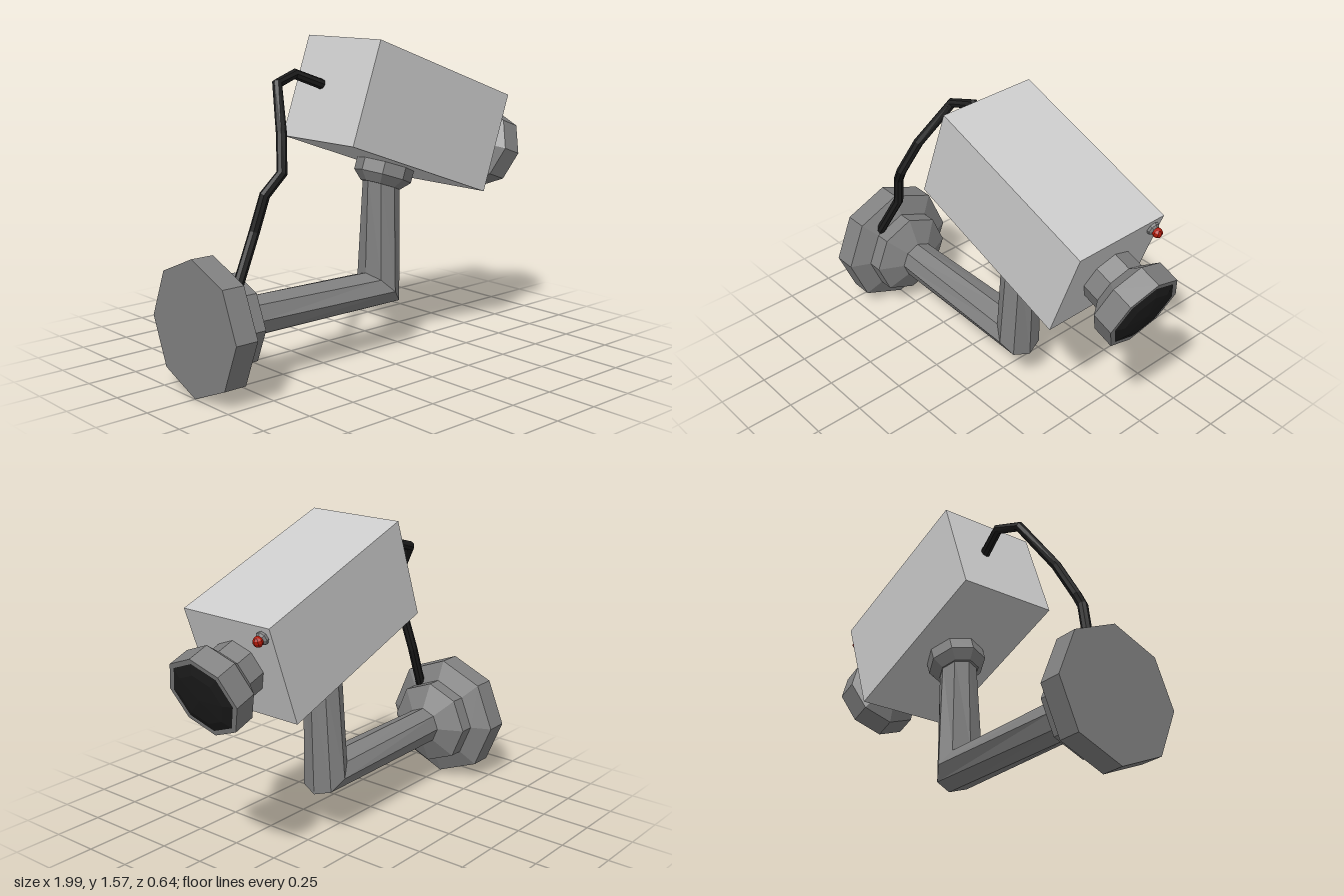
import * as THREE from 'three';

const SIDES = 8;
const paint = (color) => new THREE.MeshStandardMaterial({ color, flatShading: true });
const shell = paint(0xcccccc), metal = paint(0x808080), black = paint(0x1c1c1c), red = paint(0xb01808);

function add(parent, name, geometry, material) {
  const mesh = new THREE.Mesh(geometry, material);
  mesh.name = name;
  parent.add(mesh);
  return mesh;
}

// Octagonal turned part; profile is [radius, height] from bottom to top
function turned(profile) {
  return new THREE.LatheGeometry(profile.map(([r, h]) => new THREE.Vector2(r, h)), SIDES);
}

// Same, with the height running along +x
const turnedX = (profile) => turned(profile).rotateZ(-Math.PI / 2);

// Tube through rings { c: centre, axis, r }, closed at both ends
function loft(rings) {
  const pos = [], index = [];
  const z = new THREE.Vector3(0, 0, 1);
  for (const { c, axis, r } of rings) {
    const w = axis.clone().normalize();
    const u = z.clone().addScaledVector(w, -z.dot(w)).normalize();
    const v = new THREE.Vector3().crossVectors(w, u);
    for (let j = 0; j < SIDES; j++) {
      const a = (j / SIDES) * Math.PI * 2;
      const p = c.clone().addScaledVector(u, r * Math.cos(a)).addScaledVector(v, r * Math.sin(a));
      pos.push(p.x, p.y, p.z);
    }
  }
  const last = (rings.length - 1) * SIDES;
  for (let i = 0; i < last; i += SIDES) {
    for (let j = 0; j < SIDES; j++) {
      const k = (j + 1) % SIDES;
      index.push(i + j, i + k, i + SIDES + j, i + k, i + SIDES + k, i + SIDES + j);
    }
  }
  for (let j = 1; j < SIDES - 1; j++) {
    index.push(0, j + 1, j, last, last + j, last + j + 1);
  }
  const geometry = new THREE.BufferGeometry();
  geometry.setAttribute('position', new THREE.Float32BufferAttribute(pos, 3));
  geometry.setIndex(index);
  geometry.computeVertexNormals();
  return geometry;
}

export function createModel() {
  const model = new THREE.Group();
  model.name = 'securityCamera';
  const V = (x, y, z = 0) => new THREE.Vector3(x, y, z);

  // Stepped wall mount
  const mount = add(model, 'wallMount', turnedX([
    [0, -1], [0.322, -1], [0.322, -0.885], [0.222, -0.84], [0.222, -0.765], [0.098, -0.703], [0, -0.703],
  ]), metal);
  mount.position.y = 0.323;

  // Bent arm with a mitred elbow
  const tilt = -0.342;
  add(model, 'arm', loft([
    { c: V(-0.72, 0.323), axis: V(1, 0), r: 0.098 },
    { c: V(0.115, 0.318), axis: V(1, 1), r: 0.124 },
    { c: V(0.133, 0.858), axis: V(-Math.sin(tilt), Math.cos(tilt)), r: 0.094 },
  ]), metal);

  // Tilted camera head
  const head = new THREE.Group();
  head.name = 'cameraHead';
  head.position.set(0.247, 1.178, 0);
  head.rotation.z = tilt;
  model.add(head);

  add(head, 'housing', new THREE.BoxGeometry(0.94, 0.507, 0.512), shell);
  add(head, 'collar', turned([
    [0, -0.36], [0.1, -0.36], [0.145, -0.315], [0.145, -0.24], [0, -0.24],
  ]), metal);

  // Lens hood with a dark, slightly domed glass
  add(head, 'lensHood', turnedX([
    [0, 0.44], [0.138, 0.44], [0.138, 0.56], [0.205, 0.61], [0.205, 0.72], [0.18, 0.72],
  ]), metal);
  add(head, 'lensGlass', turnedX([[0.18, 0.72], [0.13, 0.735], [0, 0.742]]), black);

  // Indicator lamp in the upper corner of the face
  const lamp = new THREE.Group();
  lamp.name = 'indicator';
  lamp.position.set(0.47, 0.2, -0.205);
  head.add(lamp);
  add(lamp, 'lampSocket', turnedX([[0, -0.01], [0.032, -0.01], [0.032, 0.012], [0.022, 0.022], [0, 0.022]]), metal);
  add(lamp, 'lampBulb', new THREE.SphereGeometry(0.025, SIDES, 6), red).position.x = 0.034;

  // Cable from the mount to the back of the housing
  const path = [
    V(-0.86, 0.49, 0.13), V(-0.725, 0.74, 0.093), V(-0.68, 0.905, 0.115), V(-0.607, 1.0, 0.148),
    V(-0.55, 1.165, 0.075), V(-0.457, 1.372, -0.07), V(-0.33, 1.408, -0.1), V(-0.17, 1.345, -0.067),
  ];
  add(model, 'cable', loft(path.map((c, i) => {
    const before = path[Math.max(i - 1, 0)], after = path[Math.min(i + 1, path.length - 1)];
    const dirIn = c.clone().sub(before).normalize(), dirOut = after.clone().sub(c).normalize();
    return { c, axis: dirIn.add(dirOut), r: 0.025 };
  })), black);

  return model;
}
